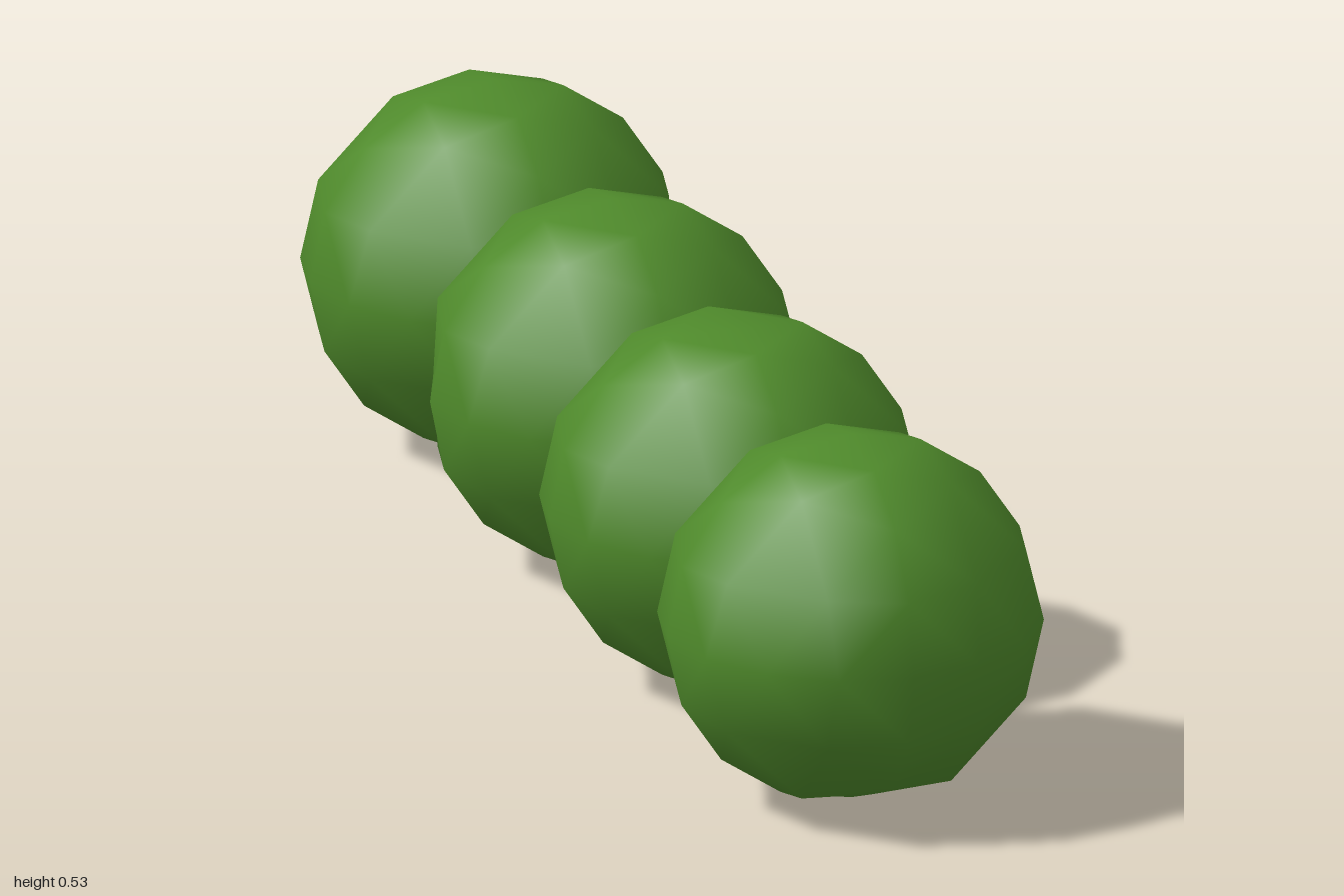
import * as THREE from 'three';
import { mergeVertices } from 'three/addons/utils/BufferGeometryUtils.js';

const RADIUS = 0.265;

// Octahedron split twice, every new point pushed out to the unit sphere
function octasphere(dents) {
  let tris = [];
  for (const sx of [1, -1]) for (const sy of [1, -1]) for (const sz of [1, -1]) {
    const a = new THREE.Vector3(sx, 0, 0);
    const b = new THREE.Vector3(0, sy, 0);
    const c = new THREE.Vector3(0, 0, sz);
    tris.push(sx * sy * sz > 0 ? [a, b, c] : [a, c, b]);
  }
  const mid = (p, q) => p.clone().add(q).normalize();
  for (let level = 0; level < 2; level++) {
    tris = tris.flatMap(([a, b, c]) => {
      const ab = mid(a, b), bc = mid(b, c), ca = mid(c, a);
      return [[a, ab, ca], [ab, b, bc], [ca, bc, c], [ab, bc, ca]];
    });
  }
  // Flatten the points that lie in a dent direction
  const dirs = dents.map((d) => new THREE.Vector3(...d).normalize());
  const points = tris.flat().map((p) => {
    const dented = dirs.some((d) => d.dot(p) > 0.985);
    return p.clone().multiplyScalar(RADIUS * (dented ? 0.93 : 1));
  });
  const geometry = mergeVertices(new THREE.BufferGeometry().setFromPoints(points), 1e-4);
  geometry.computeVertexNormals();
  return geometry;
}

export function createModel() {
  const group = new THREE.Group();
  group.name = 'beadChain';
  const green = new THREE.MeshStandardMaterial({ color: 0x4f8a2b });

  // Four touching beads in a row, each with its own small dents
  const beads = [
    { name: 'frontBead', z: 0.735, dents: [[0, -1, 0.41], [-1, 0, -1]] },
    { name: 'frontMiddleBead', z: 0.243, dents: [[0, 1, 0]] },
    { name: 'backMiddleBead', z: -0.255, dents: [[0, -1, -0.41], [-1, 0, -0.41]] },
    { name: 'backBead', z: -0.753, dents: [[0, 0, -1], [1, 0, 0], [1, 0, 0.41]] },
  ];
  for (const { name, z, dents } of beads) {
    const bead = new THREE.Mesh(octasphere(dents), green);
    bead.name = name;
    bead.position.set(0, RADIUS, z);
    group.add(bead);
  }
  return group;
}
